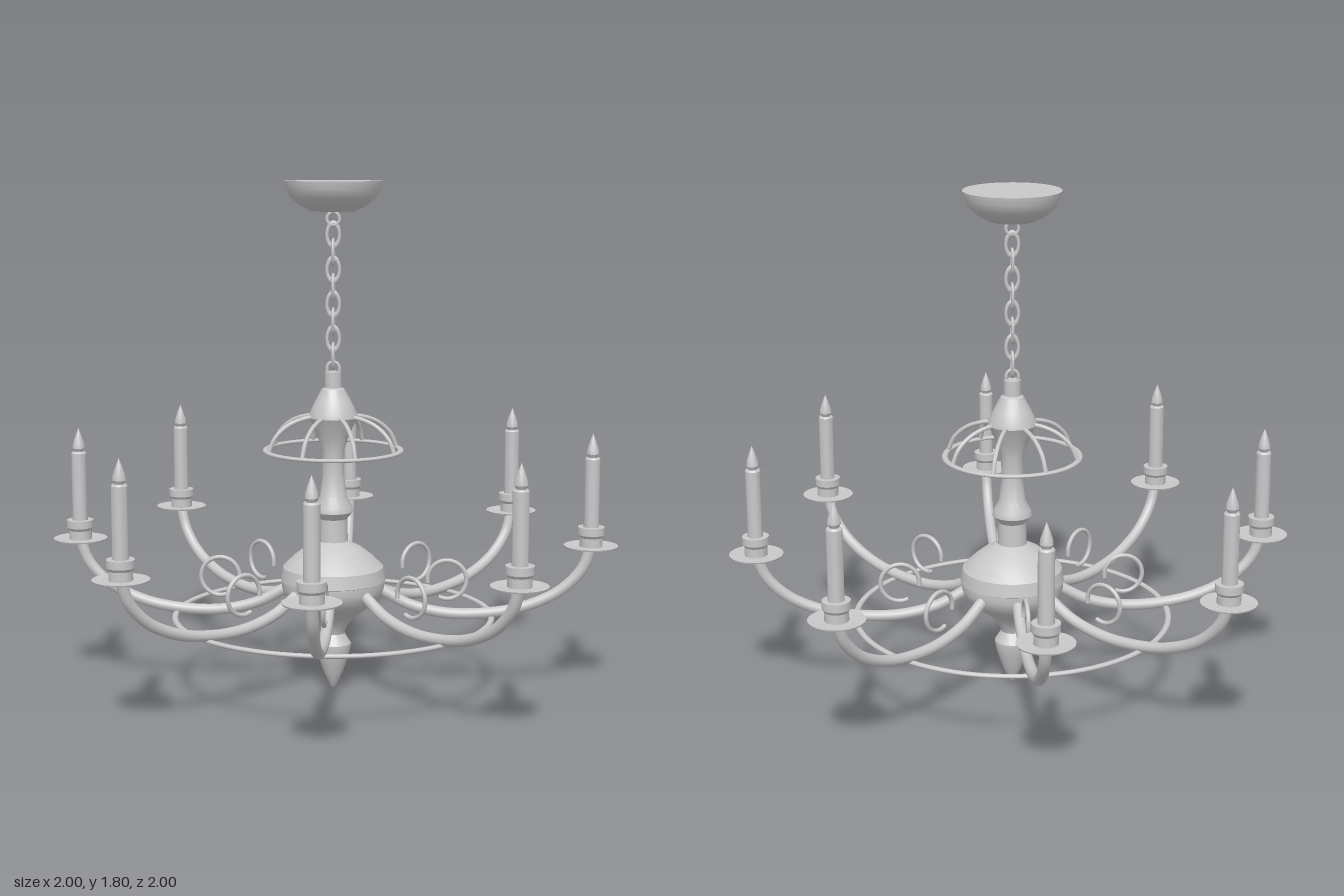
import * as THREE from 'three';
import { toCreasedNormals } from 'three/addons/utils/BufferGeometryUtils.js';

const metal = new THREE.MeshStandardMaterial({ color: 0xc8c8c8 });
metal.name = 'light grey metal';

function part(name, geometry, parent) {
  const mesh = new THREE.Mesh(geometry, metal);
  mesh.name = name;
  parent.add(mesh);
  return mesh;
}

// Turned shape from [radius, height] points, listed bottom to top
function turned(points, sides = 32) {
  const profile = points.map(([r, y]) => new THREE.Vector2(r, y));
  return toCreasedNormals(new THREE.LatheGeometry(profile, sides), 0.45);
}

// Round bar through [radius, height] points in the XY plane
function bar(points, radius, segments = 32, sides = 10) {
  const curve = new THREE.CatmullRomCurve3(points.map(([x, y]) => new THREE.Vector3(x, y, 0)));
  return new THREE.TubeGeometry(curve, segments, radius, sides);
}

function hoop(name, radius, tube, y, flatten, parent) {
  const ring = part(name, new THREE.TorusGeometry(radius, tube, 10, 80), parent);
  ring.rotation.x = Math.PI / 2;
  ring.scale.z = flatten;
  ring.position.y = y;
}

// Copies a part-building function evenly around the vertical axis
function around(count, offset, name, parent, build) {
  for (let i = 0; i < count; i++) {
    const group = new THREE.Group();
    group.name = name;
    group.rotation.y = offset + (i / count) * Math.PI * 2;
    build(group);
    parent.add(group);
  }
}

export function createModel() {
  const model = new THREE.Group();
  model.name = 'chandelier';

  // Ceiling cup
  part('ceilingCanopy', turned([
    [0, 1.692], [0.075, 1.696], [0.115, 1.715], [0.148, 1.743], [0.165, 1.773], [0.17, 1.8], [0, 1.8],
  ], 40), model);

  // Chain of oval links, each turned a quarter from the last
  const chain = new THREE.Group();
  chain.name = 'chain';
  model.add(chain);
  const addLink = (y, stretch, turn) => {
    const link = part('chainLink', new THREE.TorusGeometry(0.022, 0.006, 8, 20), chain);
    link.scale.y = stretch;
    link.position.y = y;
    link.rotation.y = turn;
  };
  addLink(1.67, 1, 0);
  for (let i = 0; i < 8; i++) addLink(1.615 - i * 0.06, 1.8, i % 2 ? Math.PI / 2 : 0);
  addLink(1.15, 1.1, 0);

  // Central column: finial, banded bowl, knob and bell
  part('centralBody', turned([
    [0, 0], [0.012, 0.012], [0.035, 0.065], [0.054, 0.12], [0.063, 0.158], [0.063, 0.168],
    [0.04, 0.205], [0.048, 0.23], [0.075, 0.265], [0.12, 0.298], [0.155, 0.325],
    [0.175, 0.352], [0.182, 0.375], [0.182, 0.398], [0.186, 0.4], [0.178, 0.447],
    [0.14, 0.484], [0.1, 0.515], [0.06, 0.535], [0.052, 0.54], [0.05, 0.62],
    [0.07, 0.645], [0.067, 0.665], [0.047, 0.7], [0.038, 0.78], [0.04, 0.87],
    [0.058, 0.92], [0.078, 0.965], [0.086, 0.98], [0.083, 0.995], [0.064, 1.035],
    [0.04, 1.08], [0.03, 1.085], [0.03, 1.14], [0, 1.14],
  ]), model);

  // Upper crown of ribs and hoop
  const rib = bar([[0.06, 0.983], [0.104, 0.979], [0.165, 0.957], [0.213, 0.915], [0.237, 0.862]], 0.008, 16, 8);
  around(8, Math.PI / 8, 'crownRib', model, (g) => part('rib', rib, g));
  hoop('crownHoop', 0.237, 0.011, 0.863, 0.6, model);

  // Large hoop under the arms
  hoop('lowerHoop', 0.561, 0.011, 0.271, 0.7, model);

  // Arm with scroll, drip pan, candle holder, candle and flame
  const armGeo = bar([
    [0.13, 0.39], [0.18, 0.36], [0.27, 0.313], [0.4, 0.284], [0.55, 0.287], [0.68, 0.314],
    [0.8, 0.372], [0.875, 0.45], [0.905, 0.528],
  ], 0.02, 48, 12);
  const scrollPoints = [];
  for (let i = 0; i <= 16; i++) {
    const a = THREE.MathUtils.degToRad(190 - i * (305 / 16));
    scrollPoints.push([0.403 + 0.069 * Math.cos(a), 0.404 + 0.069 * Math.sin(a)]);
  }
  const scrollGeo = bar(scrollPoints, 0.008, 40, 8);
  const panGeo = turned([[0, 0.522], [0.055, 0.523], [0.093, 0.531], [0.095, 0.536], [0.05, 0.533], [0, 0.533]]);
  const holderGeo = turned([
    [0.04, 0.53], [0.04, 0.565], [0.047, 0.575], [0.047, 0.602], [0.027, 0.602],
  ], 24);
  const candleGeo = turned([[0.027, 0.59], [0.027, 0.842], [0.022, 0.848], [0, 0.848]], 20);
  const flameGeo = turned([
    [0, 0.842], [0.015, 0.846], [0.022, 0.86], [0.02, 0.877], [0.01, 0.907], [0, 0.932],
  ], 16);

  around(8, 0, 'candleArm', model, (g) => {
    part('arm', armGeo, g);
    part('scroll', scrollGeo, g);
    part('dripPan', panGeo, g).position.x = 0.905;
    part('candleHolder', holderGeo, g).position.x = 0.905;
    part('candle', candleGeo, g).position.x = 0.905;
    part('flame', flameGeo, g).position.x = 0.905;
  });

  return model;
}
